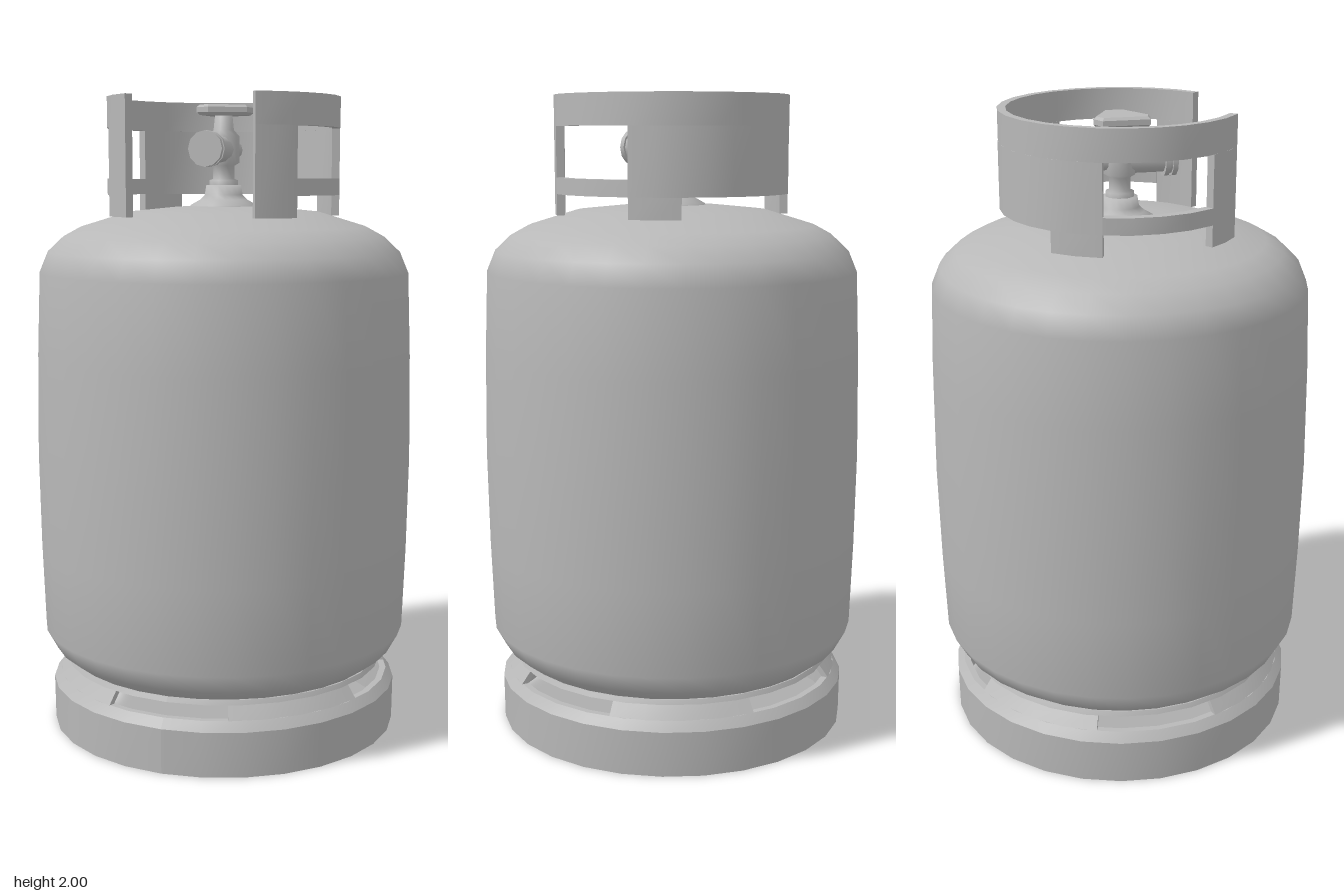
import * as THREE from 'three';

const steel = new THREE.MeshStandardMaterial({ color: 0xb8b8b8 });
steel.name = 'grey steel';

const DEG = Math.PI / 180;

function add(parent, name, geometry) {
  const mesh = new THREE.Mesh(geometry, steel);
  mesh.name = name;
  parent.add(mesh);
  return mesh;
}

function lathe(points, sides) {
  return new THREE.LatheGeometry(points.map(([r, y]) => new THREE.Vector2(r, y)), sides);
}

// Curved wall: a box bent around the y axis, angles in degrees from the front.
// The radius may taper from rLow at the bottom to rHigh at the top.
function arcWall(a0, a1, y0, y1, rLow, rHigh, thick) {
  const segs = Math.max(2, Math.round((a1 - a0) / 13));
  const g = new THREE.BoxGeometry(1, 1, 1, segs, 1, 1);
  const p = g.attributes.position;
  for (let i = 0; i < p.count; i++) {
    const a = (a0 + (p.getX(i) + 0.5) * (a1 - a0)) * DEG;
    const t = p.getY(i) + 0.5;
    const r = rLow + (rHigh - rLow) * t + (p.getZ(i) - 0.5) * thick;
    p.setXYZ(i, r * Math.sin(a), y0 + t * (y1 - y0), r * Math.cos(a));
  }
  g.computeVertexNormals();
  return g;
}

// Tank with domed ends and a slightly bulging side
function makeTank(parent) {
  add(parent, 'tank', lathe([
    [0, 0.11], [0.25, 0.125], [0.4, 0.165], [0.5, 0.222], [0.55, 0.26], [0.583, 0.32],
    [0.592, 0.58], [0.597, 0.88], [0.592, 1.2], [0.582, 1.46], [0.555, 1.525],
    [0.505, 1.572], [0.45, 1.602], [0.3, 1.648], [0.15, 1.663], [0, 1.668],
  ], 32));
}

// Foot ring with four slots below its upper lip
function makeBase(parent) {
  const base = new THREE.Group();
  base.name = 'footRing';
  parent.add(base);
  add(base, 'footBand', arcWall(0, 360, 0, 0.14, 0.556, 0.558, 0.02));
  add(base, 'footShoulder', arcWall(0, 360, 0.14, 0.168, 0.558, 0.535, 0.02));
  for (let i = 0; i < 4; i++) {
    add(base, 'slotPillar', arcWall(i * 90 + 21, i * 90 + 69, 0.168, 0.21, 0.535, 0.503, 0.02));
  }
  add(base, 'footLip', arcWall(0, 360, 0.208, 0.222, 0.512, 0.505, 0.025));
}

// Protective collar, open at the front
function makeCollar(parent) {
  const collar = new THREE.Group();
  collar.name = 'collar';
  parent.add(collar);
  const R = 0.365, T = 0.025;
  add(collar, 'topBand', arcWall(34, 326, 1.905, 2, R, R, T));
  add(collar, 'backPanel', arcWall(111, 249, 1.7, 1.905, R, R, T));
  for (const s of [1, -1]) {
    const wall = (name, a, b, y0, y1, thick = T) =>
      add(collar, name, s > 0 ? arcWall(a, b, y0, y1, R, R, thick)
        : arcWall(360 - b, 360 - a, y0, y1, R, R, thick));
    wall('frontPost', 34, 56, 1.635, 1.905);
    wall('lowerRail', 56, 111, 1.7, 1.75, 0.03);
    wall('rearFoot', 111, 136, 1.635, 1.7);
  }
}

// Valve: flange, stem, outlet pointing forward and a three-lobed handwheel
function makeValve(parent) {
  const valve = new THREE.Group();
  valve.name = 'valve';
  parent.add(valve);
  add(valve, 'valveFlange', lathe([
    [0.108, 1.65], [0.105, 1.668], [0.075, 1.685], [0.06, 1.7], [0.055, 1.73], [0, 1.735],
  ], 16));
  add(valve, 'valveStem', lathe([
    [0.045, 1.72], [0.045, 1.745], [0.034, 1.75], [0.034, 1.79], [0.05, 1.8], [0.05, 1.88],
    [0.032, 1.9], [0.026, 1.955], [0, 1.955],
  ], 10));

  const pipe = (name, r, z0, z1) => {
    const g = new THREE.CylinderGeometry(r, r, z1 - z0, 12);
    g.rotateX(Math.PI / 2);
    g.translate(0, 1.84, (z0 + z1) / 2);
    add(valve, name, g);
  };
  pipe('outlet', 0.042, 0, 0.14);
  pipe('outletFlange', 0.055, 0.132, 0.146);
  pipe('outletMouth', 0.048, 0.146, 0.155);
  pipe('outletRim', 0.055, 0.155, 0.17);
  pipe('reliefPlug', 0.03, -0.095, 0);

  const wheel = new THREE.Shape([
    [-0.06, -0.08], [-0.02, -0.09], [0.088, -0.032], [0.088, 0.03], [-0.02, 0.085], [-0.06, 0.065],
  ].map(([x, y]) => new THREE.Vector2(x, y)));
  const g = new THREE.ExtrudeGeometry(wheel, {
    depth: 0.016, bevelEnabled: true, bevelThickness: 0.008, bevelSize: 0.008, bevelOffset: -0.008, bevelSegments: 1,
  });
  g.rotateX(-Math.PI / 2);
  g.translate(0, 1.952, 0);
  add(valve, 'handwheel', g);
}

export function createModel() {
  const model = new THREE.Group();
  model.name = 'gasCylinder';
  makeTank(model);
  makeBase(model);
  makeCollar(model);
  makeValve(model);
  return model;
}
